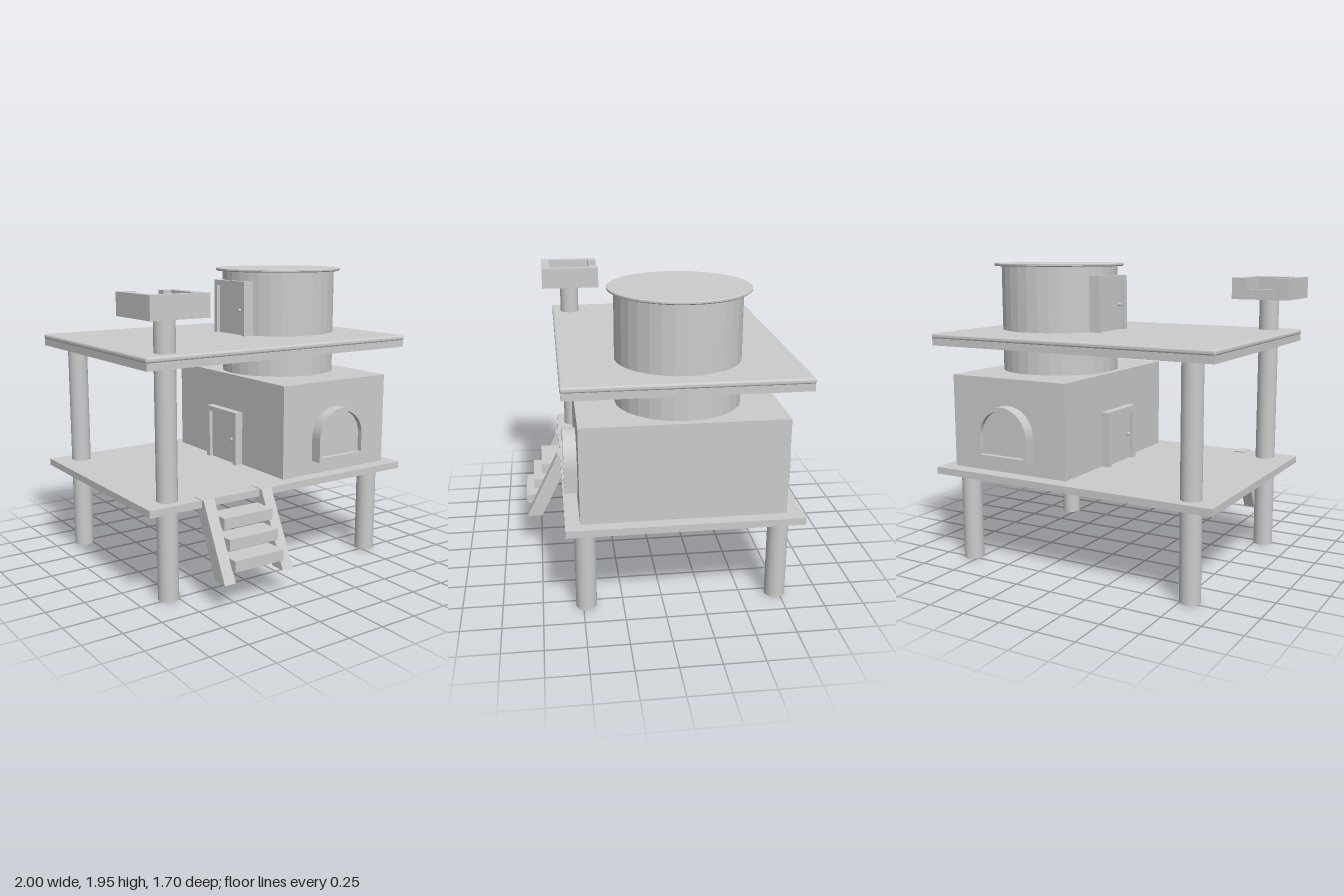
import * as THREE from 'three';
import { RoundedBoxGeometry } from 'three/addons/geometries/RoundedBoxGeometry.js';

export function createModel() {
  const model = new THREE.Group();
  const material = new THREE.MeshStandardMaterial({ color: 0xcccccc, flatShading: true });
  const smooth = new THREE.MeshStandardMaterial({ color: 0xcccccc });

  const add = (name, geometry, parent = model, mat = material) => {
    const mesh = new THREE.Mesh(geometry, mat);
    mesh.name = name;
    parent.add(mesh);
    return mesh;
  };
  // Box given by its limits on each axis
  const box = (name, [x0, x1], [y0, y1], [z0, z1], parent) => {
    const mesh = add(name, new THREE.BoxGeometry(x1 - x0, y1 - y0, z1 - z0), parent);
    mesh.position.set((x0 + x1) / 2, (y0 + y1) / 2, (z0 + z1) / 2);
    return mesh;
  };
  const cylinder = (name, r, x, z, y0, y1, sides, mat) => {
    const mesh = add(name, new THREE.CylinderGeometry(r, r, y1 - y0, sides), model, mat);
    mesh.position.set(x, (y0 + y1) / 2, z);
    return mesh;
  };
  const group = (name) => {
    const g = new THREE.Group();
    g.name = name;
    model.add(g);
    return g;
  };

  // Decks; the upper one has a rounded top board
  box('lowerDeck', [-0.985, 0.99], [0.575, 0.62], [-0.845, 0.6]);
  box('upperDeck', [-0.985, 0.99], [1.425, 1.475], [-0.845, 0.6]);
  add('upperDeckBoard', new RoundedBoxGeometry(1.985, 0.035, 1.455, 3, 0.014), model, smooth)
    .position.set(0.0025, 1.4855, -0.1225);

  // Posts
  cylinder('frontRightPost', 0.065, -0.8, 0.48, 0, 1.73, 24, smooth);
  cylinder('backRightPost', 0.065, -0.8, -0.725, 0, 1.43, 24, smooth);
  cylinder('frontLeftPost', 0.065, 0.8, 0.48, 0, 0.58, 24, smooth);
  cylinder('backLeftPost', 0.065, 0.8, -0.725, 0, 0.58, 24, smooth);

  // House and round tower with its lid
  box('house', [0.045, 0.91], [0.62, 1.23], [-0.745, 0.51]);
  cylinder('tower', 0.39, 0.475, -0.13, 1.23, 1.93, 32);
  const lid = [[0, 0], [0.427, 0], [0.435, 0.006], [0.435, 0.016], [0.43, 0.02], [0, 0.02]];
  add('towerLid', new THREE.LatheGeometry(lid.map(([r, y]) => new THREE.Vector2(r, y)), 64))
    .position.set(0.475, 1.925, -0.135);

  // Arched windows, front and back
  const arch = (path, half, bottom, spring) => {
    path.moveTo(-half, bottom);
    path.lineTo(half, bottom);
    path.lineTo(half, spring);
    path.absarc(0, spring, half, 0, Math.PI, false);
    path.lineTo(-half, bottom);
    return path;
  };
  const extrude = (shape, depth) =>
    new THREE.ExtrudeGeometry(shape, { depth, bevelEnabled: false, curveSegments: 16 });
  const frameShape = arch(new THREE.Shape(), 0.192, 0.71, 0.866);
  frameShape.holes.push(arch(new THREE.Path(), 0.168, 0.74, 0.866));
  for (const [side, z, turn] of [['front', 0.51, 0], ['back', -0.745, Math.PI]]) {
    const win = group(side + 'Window');
    add('windowFrame', extrude(frameShape, 0.08), win);
    add('windowPane', extrude(arch(new THREE.Shape(), 0.168, 0.74, 0.866), 0.045), win);
    win.position.set(0.475, 0, z);
    win.rotation.y = turn;
  }

  // Doors facing -x: jambs, lintel, recessed panel and handle
  const door = (name, x0, x1, y) => {
    const g = group(name);
    const top = y + 0.365;
    box('jamb', [x0, x1], [y, top], [-0.31, -0.275], g);
    box('jamb', [x0, x1], [y, top], [0.015, 0.05], g);
    box('lintel', [x0, x1], [top - 0.035, top], [-0.275, 0.015], g);
    box('doorPanel', [x0 + 0.025, x1], [y, top - 0.035], [-0.275, 0.015], g);
    const knob = add('doorKnob', new THREE.SphereGeometry(0.012, 12, 8), g, smooth);
    knob.position.set(x0 + 0.015, y + 0.17, -0.02);
  };
  door('lowerDoor', -0.01, 0.05, 0.62);
  door('upperDoor', 0.057, 0.132, 1.5);

  // Ladder: two slanted stringers and three treads
  const ladder = group('ladder');
  const slant = new THREE.Shape([[0.846, 0.165], [0.742, 0.165], [0.516, 0.624], [0.62, 0.624]]
    .map(([z, y]) => new THREE.Vector2(-z, y)));
  for (const x of [-0.632, -0.208]) {
    const stringer = add('stringer', extrude(slant, 0.077), ladder);
    stringer.rotation.y = Math.PI / 2;
    stringer.position.x = x;
  }
  for (let i = 0; i < 3; i++) {
    const y = 0.232 + i * 0.115, z = 0.692 - i * 0.057;
    box('tread', [-0.558, -0.206], [y, y + 0.068], [z, z + 0.154], ladder);
  }

  // Lookout tray on the tall post, with a gap in its back wall
  const lookout = group('lookout');
  const low = 1.71, high = 1.85;
  box('lookoutFloor', [-0.945, -0.665], [low, 1.755], [0.33, 0.62], lookout);
  box('lookoutWall', [-1, -0.945], [low, high], [0.275, 0.675], lookout);
  box('lookoutWall', [-0.665, -0.612], [low, high], [0.275, 0.675], lookout);
  box('lookoutWall', [-0.945, -0.665], [low, high], [0.62, 0.675], lookout);
  box('lookoutWall', [-0.945, -0.9], [low, high], [0.275, 0.33], lookout);
  box('lookoutWall', [-0.717, -0.665], [low, high], [0.275, 0.33], lookout);
  box('lookoutStep', [-0.9, -0.717], [low, 1.775], [0.275, 0.33], lookout);

  return model;
}
